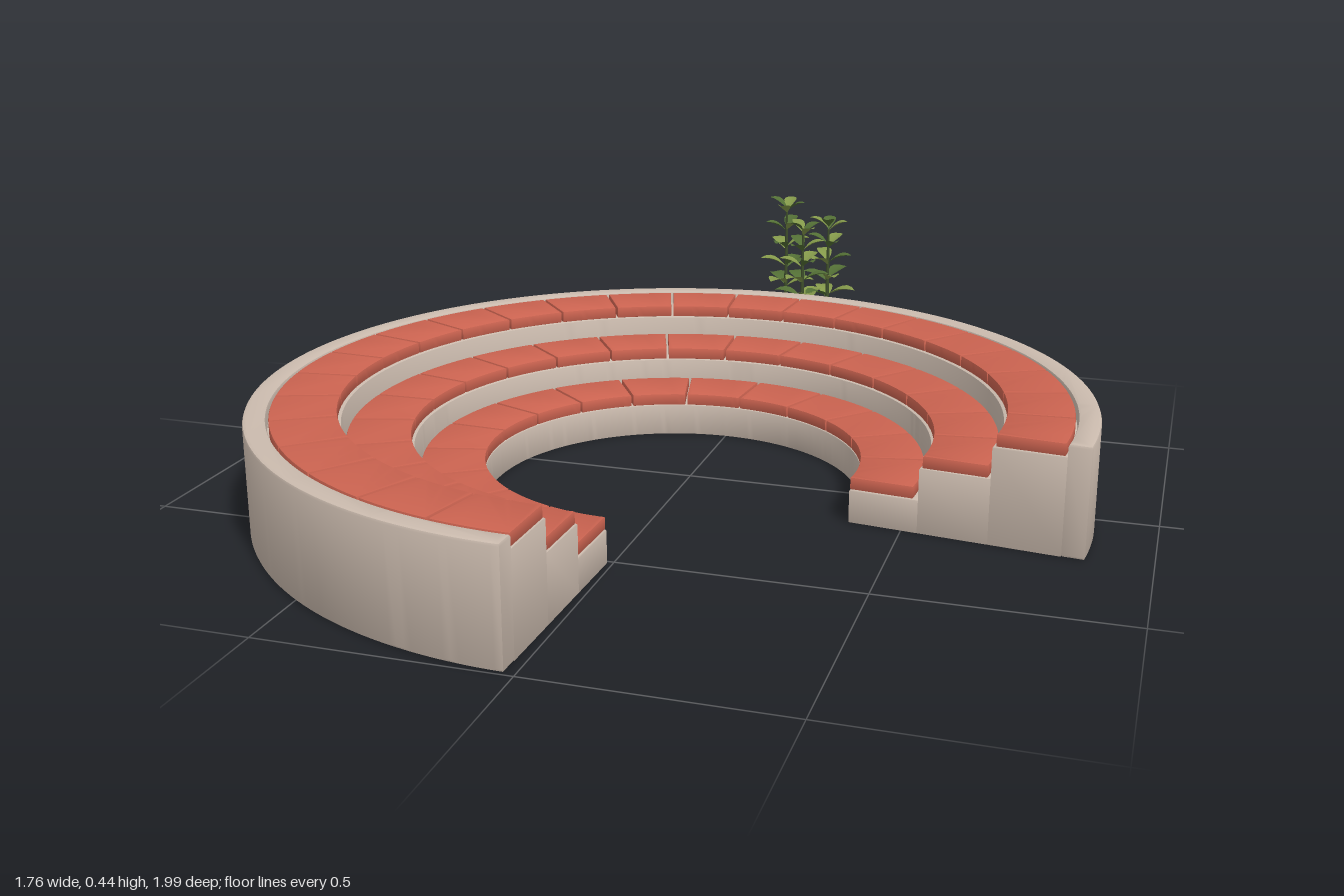
import * as THREE from 'three';
import { toCreasedNormals } from 'three/addons/utils/BufferGeometryUtils.js';

const mat = (name, color, side = THREE.FrontSide) => {
  const m = new THREE.MeshStandardMaterial({ color, side });
  m.name = name;
  return m;
};

const START = THREE.MathUtils.degToRad(91.2);
const SWEEP = THREE.MathUtils.degToRad(276);

// Extrudes a plan outline (x, z) downwards from y = top, with a small bevel.
function slab(shape, bottom, top, bevel, curveSegments) {
  const g = new THREE.ExtrudeGeometry(shape, {
    depth: top - bottom - 2 * bevel, curveSegments, bevelEnabled: bevel > 0,
    bevelSize: bevel, bevelThickness: bevel, bevelOffset: -bevel, bevelSegments: 2,
  });
  g.rotateX(Math.PI / 2).translate(0, top - bevel, 0);
  return toCreasedNormals(g, 0.6);
}

// Plan of a ring sector; angles run from +x towards +z.
function sector(r0, r1, a0, a1) {
  const s = new THREE.Shape();
  s.absarc(0, 0, r1, a0, a1, false);
  s.absarc(0, 0, r0, a1, a0, true);
  s.closePath();
  return s;
}

function ellipse(a, b, Type = THREE.Shape) {
  const s = new Type();
  s.absellipse(0, 0, a, b, 0, Math.PI * 2, false);
  return s;
}

// Pointed leaf along +x, folded along its midrib and drooping at the tip.
function leafGeometry(length, width) {
  const rows = 6, pos = [], index = [];
  for (let i = 0; i <= rows; i++) {
    const t = i / rows;
    const w = width / 2 * Math.pow(Math.sin(Math.PI * Math.pow(t, 1.25)), 0.8);
    const y = length * (0.45 * t - 0.4 * t * t);
    pos.push(t * length, y + w * 0.3, -w, t * length, y, 0, t * length, y + w * 0.3, w);
    if (i < rows) {
      for (let j = 0; j < 2; j++) {
        const a = i * 3 + j;
        index.push(a, a + 1, a + 3, a + 1, a + 4, a + 3);
      }
    }
  }
  const g = new THREE.BufferGeometry();
  g.setAttribute('position', new THREE.Float32BufferAttribute(pos, 3));
  g.setIndex(index);
  g.computeVertexNormals();
  return g;
}

export function createModel() {
  const stone = mat('stone', 0xcbbbae);
  const brick = mat('brick', 0xcb6350);
  const soil = mat('soil', 0x3d4a33);
  const pebble = mat('pebble', 0xbf9c8b);
  const stemGreen = mat('stemGreen', 0x3f4f2c);
  const leafLight = mat('leafLight', 0x84994a, THREE.DoubleSide);
  const leafDark = mat('leafDark', 0x536f35, THREE.DoubleSide);

  const model = new THREE.Group();
  model.name = 'curvedSeating';
  const add = (parent, name, geometry, material) => {
    const m = new THREE.Mesh(geometry, material);
    m.name = name;
    parent.add(m);
    return m;
  };

  // Stepped ring of seats
  const seating = new THREE.Group();
  seating.name = 'seating';
  seating.position.set(-0.002, 0, 0.117);
  model.add(seating);

  const tiers = [
    { name: 'lowerTier', r0: 0.395, r1: 0.54, b0: 0.396, b1: 0.528, y: 0.072, count: 15 },
    { name: 'middleTier', r0: 0.54, r1: 0.685, b0: 0.546, b1: 0.678, y: 0.14, count: 19 },
    { name: 'upperTier', r0: 0.685, r1: 0.832, b0: 0.692, b1: 0.827, y: 0.207, count: 24 },
  ];
  for (const t of tiers) {
    const tier = new THREE.Group();
    tier.name = t.name;
    seating.add(tier);
    add(tier, t.name + 'Base', slab(sector(t.r0, t.r1, START, START + SWEEP), 0, t.y, 0.003, 96), stone);
    // Paving bricks with open joints
    const step = SWEEP / t.count;
    const gap = 0.003 / ((t.b0 + t.b1) / 2);
    const g = slab(sector(t.b0, t.b1, gap, step - gap), t.y, t.y + 0.026, 0.002, 6);
    for (let i = 0; i < t.count; i++) {
      add(tier, t.name + 'Brick', g, brick).rotation.y = -(START + i * step);
    }
  }
  add(seating, 'outerRim', slab(sector(0.832, 0.878, START, START + SWEEP), 0, 0.234, 0.006, 128), stone);

  // Oval planter behind the ring
  const planter = new THREE.Group();
  planter.name = 'planter';
  planter.position.set(0.038, 0, -0.88);
  planter.rotation.y = -0.21;
  model.add(planter);
  const wall = ellipse(0.322, 0.09);
  wall.holes.push(ellipse(0.306, 0.074, THREE.Path));
  add(planter, 'planterWall', slab(wall, 0, 0.125, 0.004, 32), stone);
  add(planter, 'planterFloor', slab(ellipse(0.312, 0.08), 0.001, 0.02, 0, 32), stone);
  add(planter, 'soil', slab(ellipse(0.309, 0.077), 0.02, 0.113, 0, 32), soil);

  // Pebbles: x, z, radius
  const stones = [
    [-0.2, -0.03, 0.017], [-0.17, 0.02, 0.02], [-0.14, -0.035, 0.016], [-0.13, 0.03, 0.018],
    [-0.19, -0.002, 0.012], [0.2, 0.0, 0.02], [0.23, 0.022, 0.022], [0.25, -0.015, 0.018],
    [0.18, 0.04, 0.016], [0.16, -0.04, 0.014],
  ];
  const pebbleGeo = new THREE.SphereGeometry(1, 12, 8);
  stones.forEach(([x, z, r], i) => {
    const p = add(planter, 'pebble', pebbleGeo, pebble);
    p.position.set(x, 0.113 + r * 0.3, z);
    p.scale.set(r, r * 0.65, r * 0.8);
    p.rotation.y = i * 1.3;
  });

  // Leafy plants: world x, z, top height, turn
  const leaf = leafGeometry(0.072, 0.042);
  const plants = [[-0.02, -0.93, 0.425, 0.2], [0.045, -0.845, 0.385, 1.1], [0.105, -0.875, 0.395, 2.0]];
  for (const [x, z, top, turn] of plants) {
    const plant = new THREE.Group();
    plant.name = 'plant';
    plant.position.set(x, 0.11, z);
    model.add(plant);
    const h = top - 0.125;
    const stem = add(plant, 'stem', new THREE.CylinderGeometry(0.003, 0.006, h, 8), stemGreen);
    stem.position.y = h / 2;
    const levels = 5;
    for (let k = 0; k < levels; k++) {
      const f = k / (levels - 1);
      const n = k === levels - 1 ? 4 : 3;
      for (let i = 0; i < n; i++) {
        const l = add(plant, 'leaf', leaf, (i + k) % 2 ? leafDark : leafLight);
        l.position.y = h * (0.32 + 0.66 * f) + i * 0.004;
        l.rotation.set(0, turn + k * 1.1 + i * Math.PI * 2 / n, 0.2 + 0.25 * f);
        l.scale.setScalar(1.08 - 0.3 * f);
      }
    }
  }

  // Low ground cover
  const tufts = [[-0.09, 0.0], [-0.05, 0.04], [0.1, 0.035], [0.14, 0.0], [0.12, -0.035], [0.17, 0.02]];
  tufts.forEach(([x, z], k) => {
    for (let i = 0; i < 5; i++) {
      const l = add(planter, 'groundCoverLeaf', leaf, i % 2 ? leafDark : leafLight);
      l.position.set(x, 0.114, z);
      l.rotation.set(0, k + i * Math.PI * 0.4, 0.5);
      l.scale.setScalar(0.36);
    }
  });

  return model;
}
